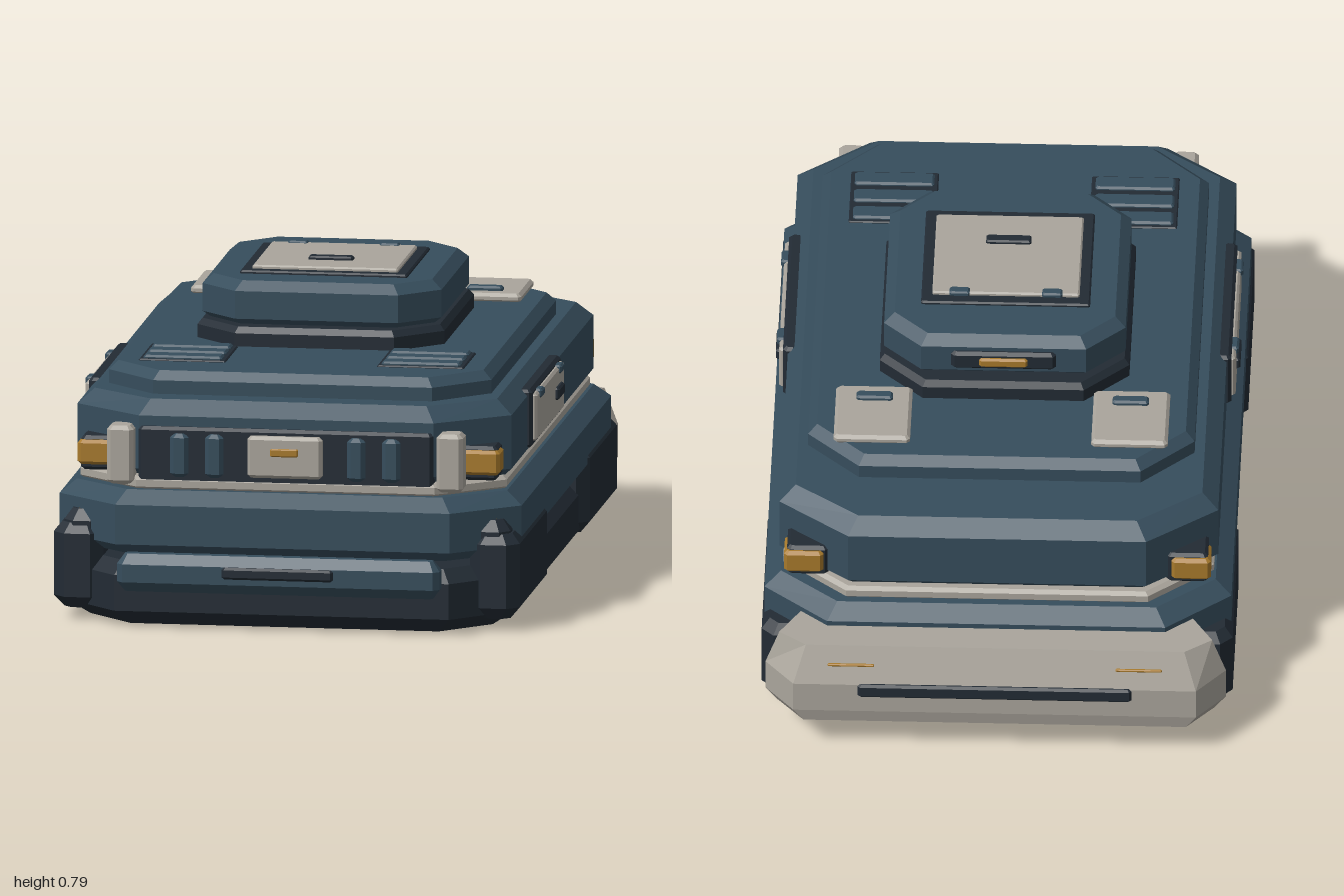
import * as THREE from 'three';

const mat = (color) => new THREE.MeshStandardMaterial({ color, flatShading: true });
const BLUE = mat(0x364d5c), DARK = mat(0x222b34), PALE = mat(0xaaa59c), AMBER = mat(0xa87a2c);

// Faceted solid from stacked rings of points; every ring runs from +z towards +x.
function loft(rings) {
  const pos = [];
  const tri = (...pts) => pts.forEach((p) => pos.push(...p));
  const n = rings[0].length;
  for (let r = 0; r < rings.length - 1; r++) {
    for (let i = 0; i < n; i++) {
      const j = (i + 1) % n, lo = rings[r], hi = rings[r + 1];
      tri(lo[i], lo[j], hi[j]);
      tri(lo[i], hi[j], hi[i]);
    }
  }
  const bottom = rings[0], top = rings[rings.length - 1];
  for (let i = 1; i < n - 1; i++) {
    tri(top[0], top[i], top[i + 1]);
    tri(bottom[0], bottom[i + 1], bottom[i]);
  }
  const g = new THREE.BufferGeometry();
  g.setAttribute('position', new THREE.Float32BufferAttribute(pos, 3));
  g.computeVertexNormals();
  return g;
}

// Eight-sided slab: x and z ranges, corner cuts, and levels of [y, inset].
function slab([x0, x1], [z0, z1], cx, cz, levels) {
  return loft(levels.map(([y, s]) => {
    const l = x0 + s, r = x1 - s, b = z0 + s, f = z1 - s, c = cx - s * 0.4, d = cz - s * 0.4;
    return [[l + c, f], [r - c, f], [r, f - d], [r, b + d], [r - c, b], [l + c, b], [l, b + d], [l, f - d]]
      .map(([x, z]) => [x, y, z]);
  }));
}

// Small box with chamfered edges.
function block(x, y, z, e = 0.008) {
  return slab(x, z, e, e, [[y[0], e], [y[0] + e, 0], [y[1] - e, 0], [y[1], e]]);
}

export function createModel() {
  const model = new THREE.Group();
  const add = (name, geometry, material) => {
    const m = new THREE.Mesh(geometry, material);
    m.name = name;
    model.add(m);
  };
  const pair = (name, material, [x0, x1], build) => {
    add(name + 'Left', build([x0, x1]), material);
    add(name + 'Right', build([-x1, -x0]), material);
  };

  // Stacked hull
  add('baseSkirt', slab([-0.56, 0.56], [-0.89, 0.92], 0.14, 0.14,
    [[0, 0.055], [0.04, 0], [0.13, 0], [0.163, 0.03]]), DARK);
  add('lowerHull', slab([-0.58, 0.58], [-0.87, 0.905], 0.16, 0.14,
    [[0.18, 0.03], [0.205, 0], [0.305, 0], [0.338, 0.04]]), BLUE);
  add('trimBand', slab([-0.535, 0.535], [-0.815, 0.855], 0.16, 0.14,
    [[0.336, 0.008], [0.343, 0], [0.36, 0], [0.368, 0.01]]), PALE);
  add('upperBody', slab([-0.545, 0.545], [-0.805, 0.84], 0.175, 0.14,
    [[0.366, 0.02], [0.385, 0], [0.52, 0], [0.556, 0.04]]), BLUE);
  add('upperDeck', slab([-0.48, 0.48], [-0.605, 0.735], 0.13, 0.13,
    [[0.55, 0], [0.59, 0], [0.612, 0.022]]), BLUE);

  // Turret and roof hatch
  add('turretRing', slab([-0.31, 0.31], [-0.345, 0.37], 0.11, 0.11,
    [[0.61, 0], [0.645, 0], [0.66, 0.012]]), DARK);
  add('turret', slab([-0.3, 0.3], [-0.31, 0.335], 0.095, 0.095,
    [[0.655, 0.025], [0.675, 0], [0.745, 0], [0.768, 0.026]]), BLUE);
  add('hatchFrame', block([-0.21, 0.21], [0.76, 0.776], [-0.165, 0.22], 0.004), DARK);
  add('hatch', block([-0.183, 0.183], [0.77, 0.785], [-0.135, 0.192], 0.004), PALE);
  add('hatchHandle', block([-0.056, 0.056], [0.78, 0.794], [0.07, 0.1], 0.004), DARK);
  pair('hatchHinge', BLUE, [0.09, 0.14], (x) => block(x, [0.775, 0.79], [-0.142, -0.115], 0.004));
  add('turretLampFrame', block([-0.13, 0.13], [0.685, 0.735], [-0.322, -0.29]), DARK);
  add('turretLamp', block([-0.06, 0.06], [0.697, 0.722], [-0.33, -0.3], 0.005), AMBER);

  // Deck hatches and vents
  pair('deckHatch', PALE, [0.225, 0.415], (x) => block(x, [0.608, 0.632], [-0.54, -0.32]));
  pair('deckHatchHandle', BLUE, [0.273, 0.363], (x) => block(x, [0.625, 0.643], [-0.387, -0.357], 0.005));
  pair('ventPlate', DARK, [0.19, 0.408], (x) => block(x, [0.605, 0.616], [0.38, 0.592], 0.003));
  for (const z of [0.415, 0.486, 0.557]) {
    pair('ventSlat', BLUE, [0.2, 0.398], (x) => block(x, [0.61, 0.624], [z - 0.025, z + 0.025], 0.005));
  }

  // Front grille, posts and badge plate
  add('grillePanel', block([-0.37, 0.37], [0.35, 0.495], [0.8, 0.853]), DARK);
  for (const x of [0.178, 0.266]) {
    pair('grilleBar', BLUE, [x - 0.023, x + 0.023], (r) => block(r, [0.37, 0.48], [0.83, 0.866], 0.01));
  }
  add('frontPlate', block([-0.094, 0.094], [0.375, 0.48], [0.83, 0.872]), PALE);
  add('frontPlateLamp', block([-0.035, 0.035], [0.431, 0.451], [0.86, 0.879], 0.003), AMBER);
  pair('frontPost', PALE, [0.38, 0.447], (x) => block(x, [0.35, 0.497], [0.8, 0.87], 0.01));

  // Corner lamps, front and rear
  for (const [name, s] of [['frontLamp', 1], ['rearLamp', -1]]) {
    const range = (a, b) => (s > 0 ? [a, b] : [-b + 0.025, -a + 0.025]);
    pair(name + 'Housing', DARK, [0.42, 0.523], (x) => block(x, [0.37, 0.456], range(0.7, 0.793)));
    pair(name, AMBER, [0.432, 0.53], (x) => block(x, [0.385, 0.447], range(0.725, 0.805)));
  }

  // Side access panels
  pair('sidePanelFrame', DARK, [0.52, 0.557], (x) => block(x, [0.388, 0.535], [-0.047, 0.438]));
  pair('sidePanel', PALE, [0.53, 0.567], (x) => block(x, [0.403, 0.523], [-0.032, 0.423], 0.006));
  pair('sidePanelHandle', DARK, [0.555, 0.577], (x) => block(x, [0.449, 0.48], [0.02, 0.113], 0.005));
  for (const z of [0.03, 0.355]) {
    pair('sidePanelHinge', BLUE, [0.55, 0.574], (x) => block(x, [0.505, 0.527], [z - 0.025, z + 0.025], 0.005));
  }

  // Track guards over the base, with front corner posts
  for (const z of [[0.35, 0.86], [-0.82, -0.31]]) {
    pair('trackGuard', DARK, [0.46, 0.585], (x) => slab(x, z, 0.03, 0.03,
      [[0.03, 0.025], [0.06, 0], [0.22, 0], [0.245, 0.02]]));
  }
  pair('cornerPost', DARK, [0.465, 0.56], (x) => slab(x, [0.755, 0.845], 0.025, 0.025,
    [[0.06, 0], [0.25, 0], [0.278, 0.02]]));
  pair('cornerMarker', AMBER, [0.498, 0.527], (x) => block(x, [0.268, 0.284], [0.785, 0.815], 0.004));

  // Front bumper bar
  add('frontBumper', slab([-0.405, 0.405], [0.925, 0.987], 0.015, 0.015,
    [[0.1, 0.018], [0.125, 0], [0.17, 0], [0.195, 0.018]]), BLUE);
  add('frontBumperSlot', block([-0.14, 0.14], [0.14, 0.17], [0.97, 0.997], 0.006), DARK);

  // Rear bumper with angled ends: levels of [y, end scale, back z]
  add('rearBumper', loft([[0.085, 0.95, -0.985], [0.12, 1, -0.992], [0.2, 1, -0.992], [0.292, 0.94, -0.952]]
    .map(([y, k, back]) => [[-0.42, -0.79], [0.42, -0.79], [0.505, -0.79], [0.572, -0.9], [0.5, back],
      [-0.5, back], [-0.572, -0.9], [-0.505, -0.79]].map(([x, z]) => [x * k, y, z]))), PALE);
  add('rearBumperStrip', block([-0.34, 0.34], [0.165, 0.203], [-1, -0.97], 0.006), DARK);
  pair('rearBumperMarker', AMBER, [0.3, 0.415], (x) => block(x, [0.243, 0.25], [-0.976, -0.95], 0.002));

  return model;
}
